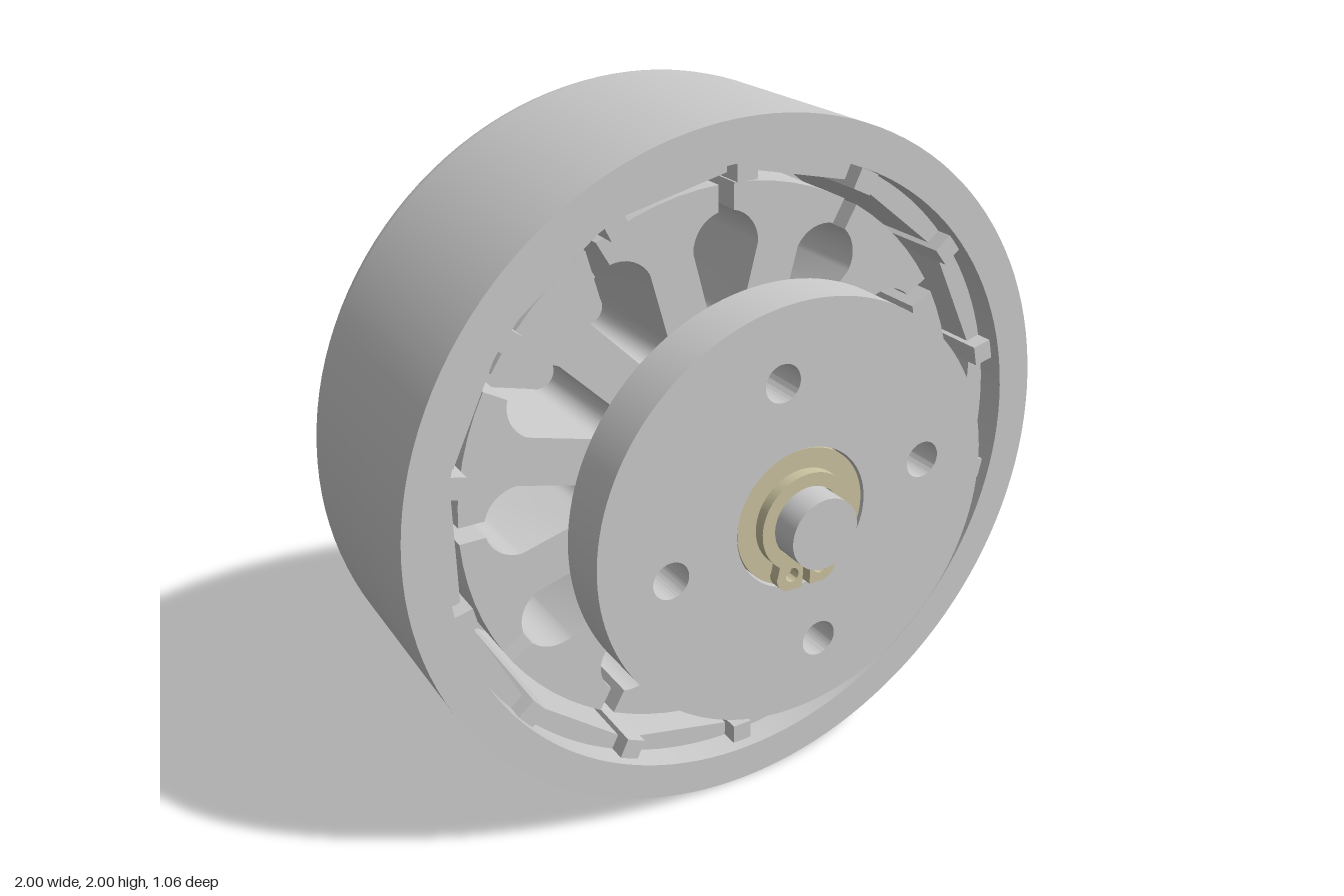
import * as THREE from 'three';
import { toCreasedNormals } from 'three/addons/utils/BufferGeometryUtils.js';

const grey = new THREE.MeshStandardMaterial({ color: 0xcccccc });
const brass = new THREE.MeshStandardMaterial({ color: 0xcbc3a0 });
const TAU = Math.PI * 2;

export function createModel() {
  const model = new THREE.Group();
  const motor = new THREE.Group();
  motor.name = 'motor';
  motor.position.y = 1;
  model.add(motor);

  const add = (name, geometry, material = grey, parent = motor) => {
    const mesh = new THREE.Mesh(toCreasedNormals(geometry, 0.6), material);
    mesh.name = name;
    parent.add(mesh);
    return mesh;
  };
  // Extrude a flat shape between two depths
  const slab = (shape, back, front, curveSegments = 48) =>
    new THREE.ExtrudeGeometry(shape, { depth: front - back, bevelEnabled: false, curveSegments }).translate(0, 0, back);
  const circle = (r, x = 0, y = 0) => new THREE.Path().absarc(x, y, r, 0, TAU, true);
  const disc = (r, holes = []) => {
    const shape = new THREE.Shape().absarc(0, 0, r, 0, TAU, false);
    shape.holes.push(...holes);
    return shape;
  };
  const fourHoles = (ring, r, turn) => [0, 1, 2, 3].map((i) => {
    const a = turn + i * Math.PI / 2;
    return circle(r, ring * Math.cos(a), ring * Math.sin(a));
  });

  // Rotating bell: rounded rim wall plus drilled end cap
  const profile = [];
  for (let i = 0; i <= 8; i++) {
    const a = -Math.PI / 2 + (i / 8) * Math.PI / 2;
    profile.push(new THREE.Vector2(0.91 + 0.09 * Math.cos(a), -0.44 + 0.09 * Math.sin(a)));
  }
  profile.push(new THREE.Vector2(1, 0.185), new THREE.Vector2(0.89, 0.185), new THREE.Vector2(0.89, -0.42));
  add('bellWall', new THREE.LatheGeometry(profile, 128).rotateX(Math.PI / 2));
  add('bellEndCap', slab(disc(0.91, fourHoles(0.5, 0.05, 0)), -0.53, -0.41, 64));

  // Magnets with flat inner faces, and the spacers between them
  const magnets = new THREE.Group();
  magnets.name = 'magnetRing';
  motor.add(magnets);
  const step = TAU / 14, gap = 0.035;
  const magnet = new THREE.Shape();
  magnet.absarc(0, 0, 0.892, gap, step - gap, false);
  magnet.lineTo(0.845 * Math.cos(step - gap), 0.845 * Math.sin(step - gap));
  magnet.lineTo(0.845 * Math.cos(gap), 0.845 * Math.sin(gap));
  const magnetGeometry = slab(magnet, -0.38, 0.1, 8);
  const spacerGeometry = new THREE.BoxGeometry(0.06, 0.06, 0.53).translate(0.86, 0, -0.115);
  for (let i = 0; i < 14; i++) {
    const a = Math.PI / 2 + i * step;
    add('magnet', magnetGeometry, grey, magnets).rotation.z = a;
    add('magnetSpacer', spacerGeometry, grey, magnets).rotation.z = a;
  }

  // Stator: twelve teeth separated by keyhole slots
  const slot = [[0.8, -0.024]];
  for (let i = 0; i <= 8; i++) {
    const a = -0.24 - (i / 8) * (Math.PI / 2 - 0.24);
    slot.push([0.63 + 0.1 * Math.cos(a), 0.1 * Math.sin(a)]);
  }
  for (let i = 0; i <= 4; i++) {
    const a = -Math.PI / 2 - (i / 4) * Math.PI / 2;
    slot.push([0.44 + 0.05 * Math.cos(a), 0.05 * Math.sin(a)]);
  }
  const fullSlot = [...slot, ...slot.slice(0, -1).reverse().map(([u, v]) => [u, -v])];
  const outline = [];
  for (let i = 0; i < 12; i++) {
    const a = i * TAU / 12;
    for (const [u, v] of fullSlot) {
      outline.push(new THREE.Vector2(u * Math.cos(a) - v * Math.sin(a), u * Math.sin(a) + v * Math.cos(a)));
    }
    for (let k = 1; k < 6; k++) {
      const b = a + 0.03 + (k / 6) * (TAU / 12 - 0.06);
      outline.push(new THREE.Vector2(0.8 * Math.cos(b), 0.8 * Math.sin(b)));
    }
  }
  const stator = new THREE.Shape(outline);
  stator.holes.push(circle(0.3));
  add('stator', slab(stator, -0.34, 0.05));

  // Mounting flange on its neck
  add('neck', slab(disc(0.32, [circle(0.2)]), -0.36, 0.275));
  add('mountingFlange', slab(disc(0.6, [circle(0.2), ...fourHoles(0.4, 0.052, 0.17)]), 0.27, 0.425, 64));

  // Bearing, shaft and retaining clip
  add('bearing', slab(disc(0.195, [circle(0.1)]), 0.28, 0.418), brass);
  add('bearingBack', slab(disc(0.2, [circle(0.1)]), -0.36, 0.28));
  add('shaft', new THREE.CylinderGeometry(0.1, 0.1, 0.95, 48).rotateX(Math.PI / 2).translate(0, 0, 0.055));

  const clip = new THREE.Shape();
  const down = -Math.PI / 2;
  clip.absarc(0, 0, 0.14, down + 0.65, down - 0.65 + TAU, false);
  clip.lineTo(-0.09, -0.14);
  clip.absarc(-0.05, -0.147, 0.043, Math.PI, Math.PI * 1.5, false);
  clip.lineTo(-0.012, -0.19);
  clip.lineTo(-0.012, -0.101);
  clip.absarc(0, 0, 0.102, down - 0.12, down + 0.12 - TAU, true);
  clip.lineTo(0.012, -0.19);
  clip.lineTo(0.05, -0.19);
  clip.absarc(0.05, -0.147, 0.043, Math.PI * 1.5, TAU, false);
  clip.holes.push(circle(0.02, -0.045, -0.145), circle(0.02, 0.045, -0.145));
  add('retainingClip', slab(clip, 0.42, 0.452, 24), brass);

  return model;
}
